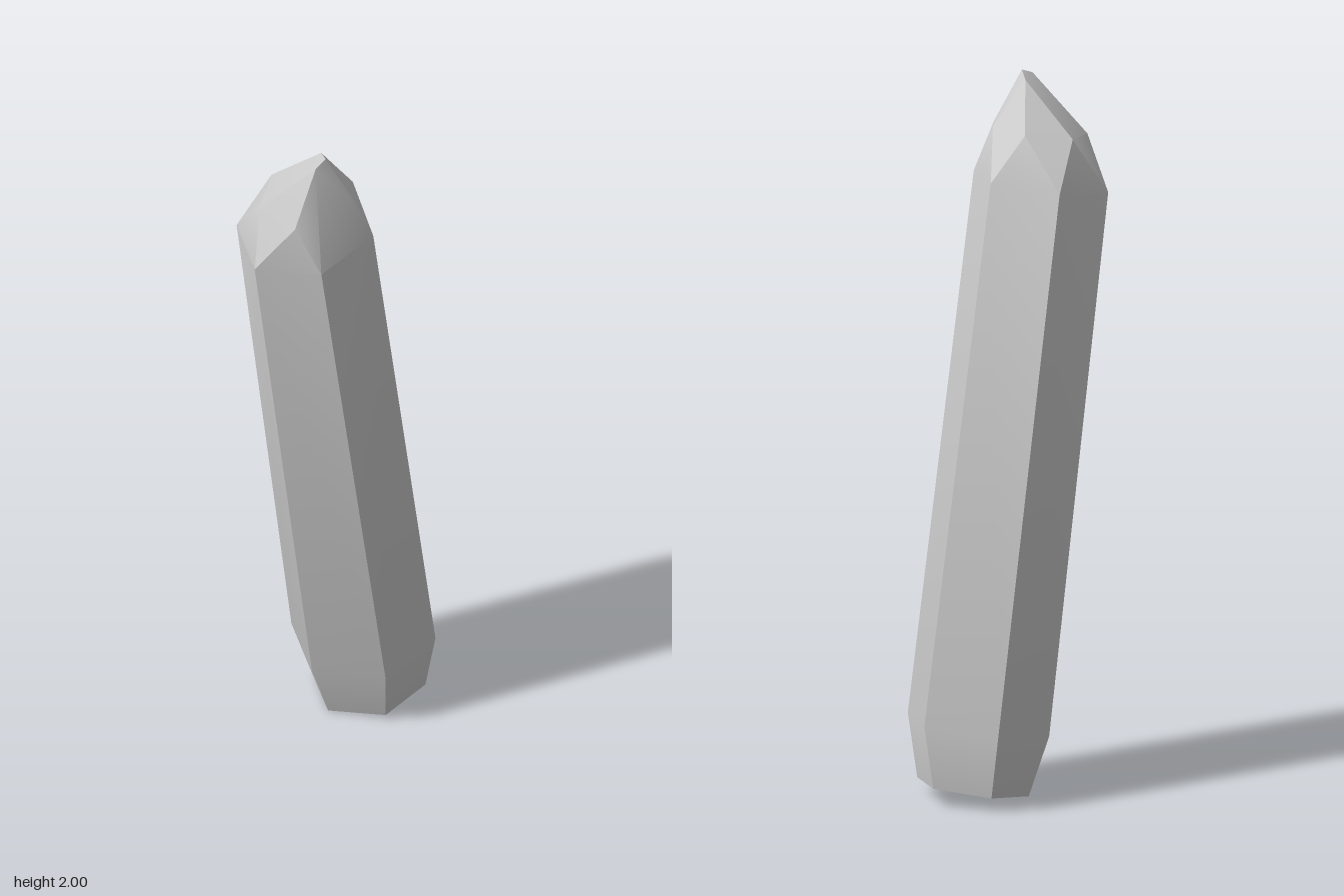
import * as THREE from 'three';
import { ConvexGeometry } from 'three/addons/geometries/ConvexGeometry.js';
import { toCreasedNormals } from 'three/addons/utils/BufferGeometryUtils.js';

// A cross-section square to the leaning axis: [x, z] corners, height on the centre line
const ring = (height, corners) =>
  corners.map(([x, z]) => new THREE.Vector3(x, height + 0.053 * x - 0.16 * z, z));

export function createModel() {
  const crystalGrey = new THREE.MeshStandardMaterial({ color: 0xcccccc });
  crystalGrey.name = 'crystal grey';

  const points = [
    // cut base
    ...ring(0.008, [[-0.12, -0.11], [-0.02, 0.015], [0.14, -0.01], [0.2, -0.15], [0.09, -0.275], [-0.075, -0.25]]),
    // foot and shoulder of the six-sided shaft
    ...ring(0.185, [[-0.17, -0.085], [-0.045, 0.07], [0.16, 0.04], [0.235, -0.137], [0.105, -0.3], [-0.105, -0.27]]),
    ...ring(1.725, [[-0.235, 0.15], [-0.12, 0.298], [0.065, 0.268], [0.145, 0.09], [0.02, -0.06], [-0.175, -0.03]]),
    // facets of the point, turned half a step from the shaft
    ...ring(1.867, [[-0.135, 0.225], [-0.01, 0.275], [0.102, 0.125], [0.072, 0.06], [-0.05, 0.01], [-0.155, 0.093]]),
    // blunt tip
    new THREE.Vector3(0.02, 1.985, 0.2),
    new THREE.Vector3(0.005, 1.985, 0.125),
    new THREE.Vector3(0.035, 2, 0.165),
  ];

  const crystal = new THREE.Mesh(
    toCreasedNormals(new ConvexGeometry(points), THREE.MathUtils.degToRad(30)),
    crystalGrey
  );
  crystal.name = 'crystal';

  const model = new THREE.Group();
  model.name = 'crystalShard';
  model.add(crystal);
  return model;
}
